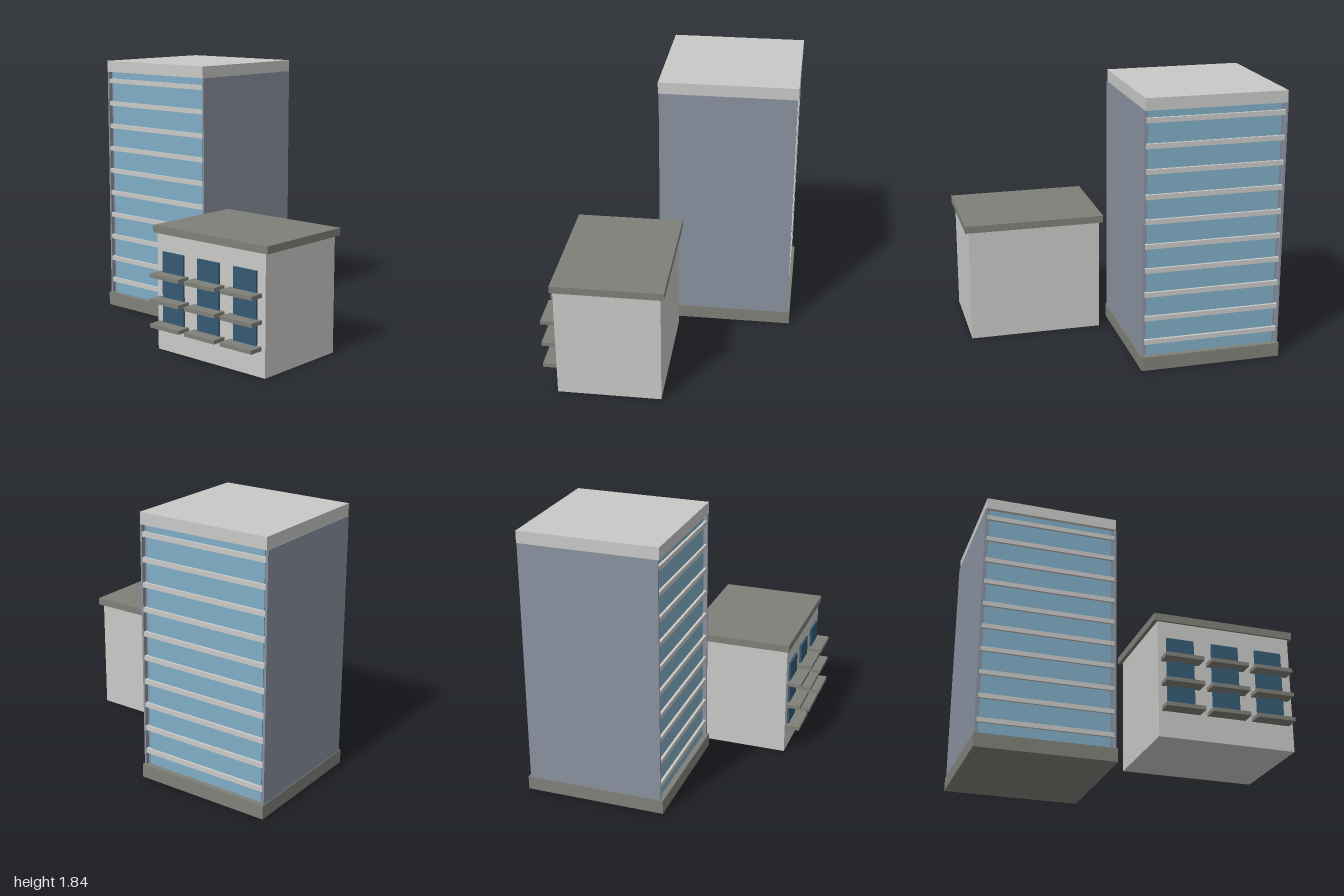
import * as THREE from 'three';

const material = (name, color) => {
  const m = new THREE.MeshStandardMaterial({ color });
  m.name = name;
  return m;
};

export function createModel() {
  const concrete = material('light concrete', 0xc9c9c7);
  const stone = material('dark stone', 0x80807a);
  const cladding = material('blue grey cladding', 0x8a92a0);
  const glass = material('light blue glass', 0x80adc6);
  const windowGlass = material('dark blue glass', 0x355a74);

  const model = new THREE.Group();
  model.name = 'twoBuildings';

  // Box given by its extents along each axis
  const box = (parent, name, mat, [x0, x1], [y0, y1], [z0, z1]) => {
    const mesh = new THREE.Mesh(new THREE.BoxGeometry(x1 - x0, y1 - y0, z1 - z0), mat);
    mesh.position.set((x0 + x1) / 2, (y0 + y1) / 2, (z0 + z1) / 2);
    mesh.name = name;
    parent.add(mesh);
  };
  const span = (half) => [-half, half];

  // Office tower, built around its own centre
  const tower = new THREE.Group();
  tower.name = 'tower';
  tower.position.set(-0.5175, 0, -0.3175);
  model.add(tower);
  box(tower, 'towerBase', stone, span(0.4825), [0, 0.095], span(0.4825));
  box(tower, 'towerCore', cladding, span(0.464), [0.095, 1.76], span(0.437));
  box(tower, 'towerRoof', concrete, span(0.472), [1.76, 1.84], span(0.472));

  // Side walls stand slightly proud of the glazed faces
  for (const side of [-1, 1]) {
    const x = side < 0 ? [-0.478, -0.464] : [0.464, 0.478];
    box(tower, 'sideWall', cladding, x, [0.095, 1.76], span(0.466));
  }

  // Glazing and floor bands, the same on front and back
  for (const side of [1, -1]) {
    const facade = new THREE.Group();
    facade.name = side > 0 ? 'frontFacade' : 'backFacade';
    if (side < 0) facade.rotation.y = Math.PI;
    tower.add(facade);
    box(facade, 'glazing', glass, span(0.443), [0.095, 1.76], [0.437, 0.445]);
    for (let i = 0; i < 10; i++) {
      const y = 0.194 + i * 0.1667;
      box(facade, 'floorBand', concrete, span(0.464), [y - 0.016, y + 0.016], [0.437, 0.463]);
    }
  }

  // Low building with overhanging roof
  const house = new THREE.Group();
  house.name = 'lowBuilding';
  model.add(house);
  box(house, 'walls', concrete, [0.055, 0.975], [0, 0.79], [0, 0.7]);
  box(house, 'roofSlab', stone, [0.03, 1], [0.79, 0.84], [-0.025, 0.715]);

  // Window columns with three balcony slabs each
  for (const x of [0.204, 0.512, 0.818]) {
    box(house, 'window', windowGlass, [x - 0.093, x + 0.093], [0.18, 0.673], [0.7, 0.714]);
    for (const y of [0.185, 0.354, 0.523]) {
      box(house, 'balcony', stone, [x - 0.129, x + 0.129], [y - 0.013, y + 0.013], [0.7, 0.8]);
    }
  }

  return model;
}
